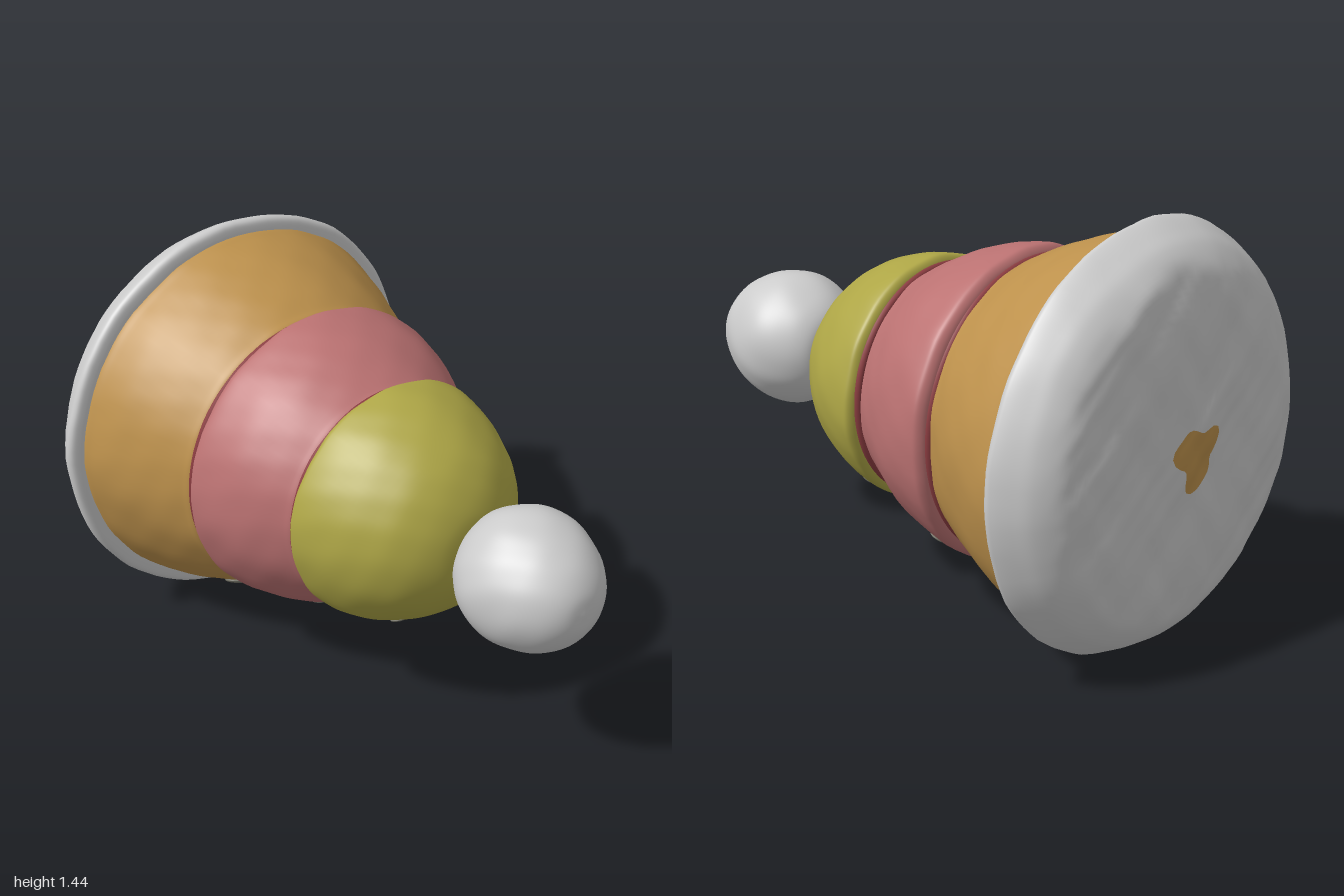
import * as THREE from 'three';
import { mergeVertices } from 'three/addons/utils/BufferGeometryUtils.js';

const CENTRE_Y = 0.727;

// Smooth, repeatable hand-moulded unevenness
function lumps(x, y, z) {
  return 0.45 * Math.sin(9 * x + 4 * y + 3 * z) * Math.sin(8 * y - 5 * z + 1)
    + 0.35 * Math.sin(19 * x - 11 * z) * Math.sin(17 * y + 9 * z + 2)
    + 0.2 * Math.sin(37 * x + 13 * y) * Math.sin(33 * y - 29 * z);
}

function mesh(name, geometry, color) {
  const m = new THREE.Mesh(geometry, new THREE.MeshStandardMaterial({ color, roughness: 0.9, side: THREE.DoubleSide }));
  m.name = name;
  return m;
}

// Moves vertices by the unevenness; the back face is rougher
function roughen(geometry, amount) {
  const p = geometry.attributes.position;
  for (let i = 0; i < p.count; i++) {
    const x = p.getX(i), y = p.getY(i), z = p.getZ(i);
    const n = lumps(x, y, z), r = Math.hypot(x, y);
    const side = 1 + amount * n / Math.max(r, 0.2);
    const back = THREE.MathUtils.smoothstep(-z, 0.92, 0.97);
    p.setXYZ(i, x * side, y * side, z + back * 0.013 * lumps(1.4 * x, 1.4 * y, 0.5));
  }
  geometry.computeVertexNormals();
  return geometry;
}

// Turned part along z, from [radius, z] pairs running back to front
function turned(name, profile, color, offsetX = 0, amount = 0.007) {
  const curve = new THREE.CatmullRomCurve3(profile.map(([r, z]) => new THREE.Vector3(r, z, 0)));
  const points = curve.getPoints(profile.length * 5).map(v => new THREE.Vector2(Math.max(v.x, 0), v.y));
  let geometry = new THREE.LatheGeometry(points, 96);
  geometry.rotateX(Math.PI / 2);
  geometry.deleteAttribute('uv');
  geometry.deleteAttribute('normal');
  geometry = mergeVertices(geometry, 1e-5);
  const m = mesh(name, roughen(geometry, amount), color);
  m.position.set(offsetX, CENTRE_Y, 0);
  return m;
}

export function createModel() {
  const group = new THREE.Group();
  const gold = 0xbd914c, red = 0xbb7272, olive = 0xaea646, seamRed = 0x8a3c40;

  group.add(
    // Wide base with a rounded rim and a closed, uneven back
    turned('baseRim', [
      [0, -0.983], [0.2, -0.985], [0.4, -0.98], [0.52, -0.965], [0.59, -0.945], [0.65, -0.9],
      [0.685, -0.85], [0.712, -0.8], [0.717, -0.78], [0.708, -0.765], [0.68, -0.758], [0.6, -0.758],
    ], 0xcccccc),
    // Stacked rings, each tucked under the next
    turned('largeRing', [
      [0.62, -0.82], [0.668, -0.77], [0.66, -0.72], [0.635, -0.63], [0.6, -0.54], [0.555, -0.44],
      [0.522, -0.38], [0.505, -0.35], [0.46, -0.33],
    ], gold, 0.005),
    turned('middleRing', [
      [0.48, -0.35], [0.515, -0.342], [0.533, -0.325], [0.535, -0.3], [0.52, -0.22], [0.49, -0.12],
      [0.445, -0.03], [0.41, 0.03], [0.39, 0.06], [0.34, 0.08],
    ], red, 0.02),
    turned('smallDome', [
      [0.36, 0.055], [0.405, 0.06], [0.424, 0.075], [0.425, 0.1], [0.405, 0.19], [0.36, 0.29],
      [0.285, 0.395], [0.21, 0.455], [0.13, 0.492], [0.06, 0.503], [0, 0.505],
    ], olive, 0.035),
    // Ball at the tip, flattened where it faces the dome
    turned('tipBall', [
      [0, 0.517], [0.07, 0.518], [0.125, 0.526], [0.17, 0.56], [0.21, 0.62], [0.232, 0.68], [0.236, 0.73],
      [0.224, 0.8], [0.19, 0.88], [0.135, 0.95], [0.07, 0.99], [0, 1],
    ], 0xcccccc, 0.07),
  );

  // Dark grooves between the rings
  [[0.502, -0.348, 0.01], [0.394, 0.056, 0.03]].forEach(([r, z, x], i) => {
    const groove = mesh('groove' + (i + 1), new THREE.TorusGeometry(r, 0.013, 8, 96), seamRed);
    groove.position.set(x, CENTRE_Y, z);
    group.add(groove);
  });

  // Worn gold patch on the back, following its unevenness
  const patchGeometry = new THREE.RingGeometry(0, 0.1, 32, 8);
  patchGeometry.rotateY(Math.PI);
  const pp = patchGeometry.attributes.position;
  for (let i = 0; i < pp.count; i++) {
    const a = Math.atan2(pp.getY(i), pp.getX(i));
    const k = 1 + 0.2 * Math.sin(3 * a) + 0.12 * Math.sin(5 * a + 1);
    pp.setXYZ(i, pp.getX(i) * k - 0.03, pp.getY(i) * k - 0.02, -0.987);
  }
  const patch = mesh('backPatch', roughen(patchGeometry, 0), gold);
  patch.position.y = CENTRE_Y;
  group.add(patch);

  // Small grey scuffs on the lower front: x, y, z, size, slope towards the front
  const scuffs = [
    [-0.19, 0.15, -0.55, 0.045, 0.4], [0.31, 0.2, -0.55, 0.04, 0.4],
    [-0.11, 0.24, -0.15, 0.028, 0.35], [0.26, 0.27, -0.15, 0.03, 0.35],
    [-0.06, 0.345, 0.23, 0.026, 0.5], [0.21, 0.36, 0.23, 0.026, 0.5],
  ];
  scuffs.forEach(([x, y, z, size, slope], i) => {
    const scuff = mesh('scuff' + (i + 1), new THREE.SphereGeometry(size, 16, 10), 0x77766a);
    const radial = new THREE.Vector3(x - 0.02, y - CENTRE_Y, 0).normalize();
    scuff.scale.z = 0.25;
    scuff.position.set(x, y, z);
    scuff.lookAt(scuff.position.clone().add(radial.setZ(slope)));
    group.add(scuff);
  });

  return group;
}
